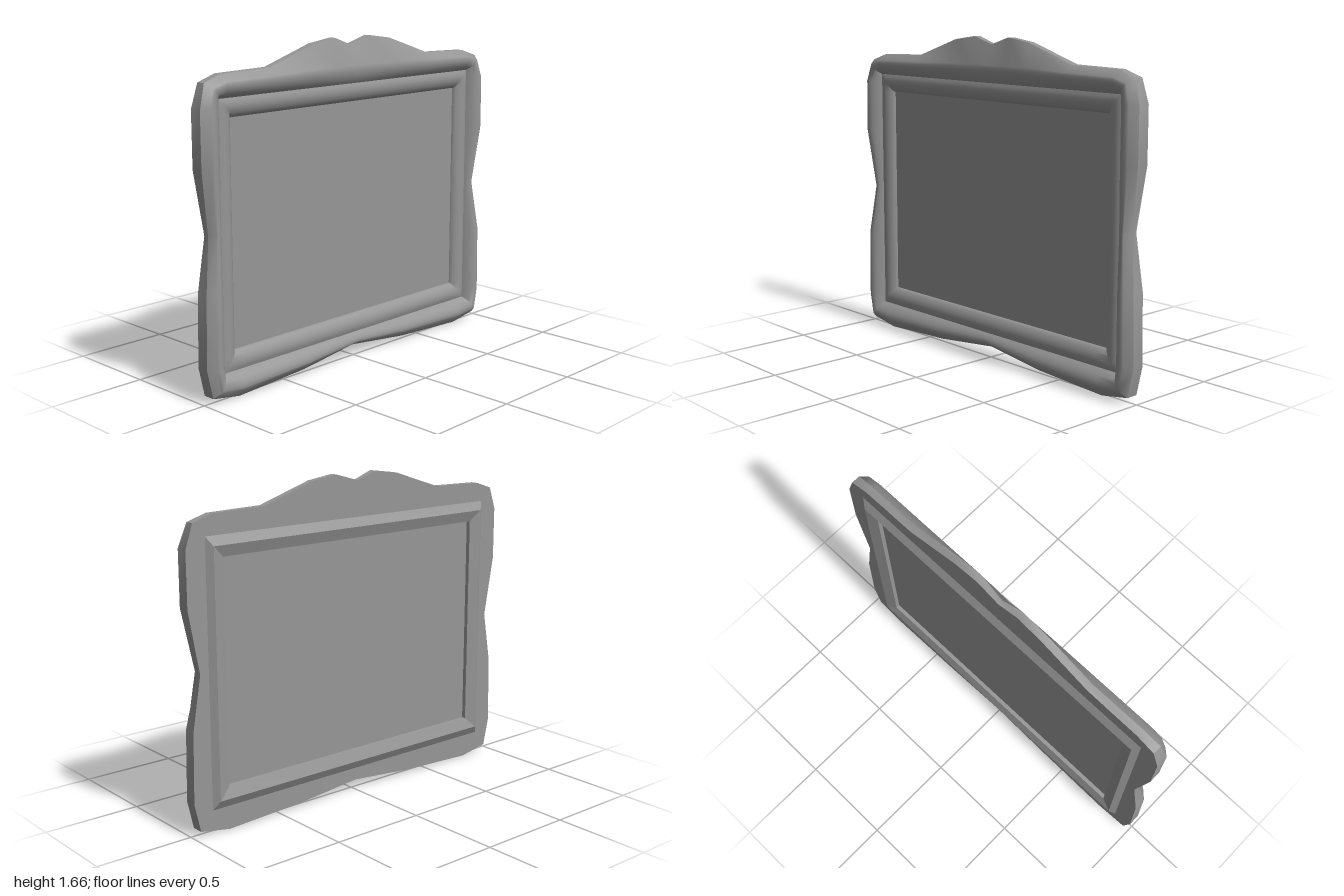
import * as THREE from 'three';
import { toCreasedNormals } from 'three/addons/utils/BufferGeometryUtils.js';

const CY = 0.78; // height of the opening's centre

// Right half of the wavy outline, top to bottom: x, y, edge z, crest z
const HALF = [
  [0.125, 1.66, 0.0, 0.043],
  [0.27, 1.64, 0.0, 0.045],
  [0.56, 1.547, 0.0, 0.048],
  [0.86, 1.54, 0.002, 0.05],
  [0.96, 1.507, 0.008, 0.05],
  [1.0, 1.39, 0.025, 0.06],
  [1.0, 1.115, 0.025, 0.063],
  [0.943, 0.8, -0.01, 0.035],
  [0.99, 0.53, 0.025, 0.063],
  [0.998, 0.175, 0.025, 0.063],
  [0.965, 0.03, 0.025, 0.063],
  [0.8, 0.0, 0.02, 0.06],
  [0.37, 0.02, 0.015, 0.055],
];
const OUTLINE = [
  [-0.01, 1.622, -0.012, 0.038],
  ...HALF,
  [0, 0.055, -0.005, 0.037],
  ...HALF.map(([x, ...rest]) => [-x, ...rest]).reverse(),
];

// Inner rectangle where the carved border meets the bead
const RW = 0.885, RH = 0.65, GROOVE = 0.012;
const clamp = THREE.MathUtils.clamp;
const foot = ([x, y]) => [clamp(x, -RW, RW), clamp(y - CY, -RH, RH)];

// Ring following a rectangle of half size w, h
const rectRing = (w, h, z) => OUTLINE.map((p) => {
  const [x, y] = foot(p);
  return [(x / RW) * w, CY + (y / RH) * h, z];
});
// Ring on the carved border: f runs outward from the groove, k up to the crest
const carvedRing = ([f, k]) => OUTLINE.map((p) => {
  const [x, y] = foot(p);
  const dist = Math.hypot(p[0] - x, p[1] - CY - y);
  const s = f * Math.min(1, 0.13 / dist);
  return [x + (p[0] - x) * s, CY + y + (p[1] - CY - y) * s, GROOVE + (p[3] - GROOVE) * k];
});

// Skin closed rings one after another
function loft(rings, crease = 0.6) {
  const n = rings[0].length, index = [];
  for (let r = 0; r < rings.length - 1; r++) {
    for (let i = 0; i < n; i++) {
      const j = (i + 1) % n;
      const a = r * n + i, b = r * n + j, c = b + n, d = a + n;
      index.push(a, d, c, a, c, b);
    }
  }
  const geo = new THREE.BufferGeometry();
  geo.setAttribute('position', new THREE.Float32BufferAttribute(rings.flat(2), 3));
  geo.setIndex(index);
  return toCreasedNormals(geo, crease);
}

export function createModel() {
  const group = new THREE.Group();
  group.name = 'pictureFrame';
  const material = new THREE.MeshStandardMaterial({ color: 0x969696 });
  const add = (name, geometry) => {
    const mesh = new THREE.Mesh(geometry, material);
    mesh.name = name;
    group.add(mesh);
    return mesh;
  };

  // Flat back and straight outer edge
  const edge = OUTLINE.map(([x, y, z]) => [x, y, z]);
  add('borderBack', loft([
    rectRing(0.895, 0.66, -0.038),
    OUTLINE.map(([x, y]) => [x, y, -0.038]),
    edge,
  ]));

  // Carved front: bevelled up to a crest, then rounded down to the groove
  const profile = [[0.7, 0.9], [0.6, 1], [0.47, 0.98], [0.34, 0.86], [0.21, 0.63], [0.09, 0.32]];
  add('carvedBorder', loft([edge, ...profile.map(carvedRing), rectRing(RW, RH, GROOVE)], 0.8));

  // Half-round bead with a steep step down to the panel: inset, z
  const bead = [
    [0, GROOVE], [0.012, 0.017], [0.028, 0.021], [0.045, 0.019],
    [0.062, 0.012], [0.076, 0.001], [0.083, -0.008], [0.085, -0.018],
  ];
  add('innerBead', loft(bead.map(([d, z]) => rectRing(RW - d, RH - d * 1.12, z))));

  // Raised ridge around the back, with a small step at the panel
  add('backRidge', loft([
    rectRing(0.8, 0.555, -0.02),
    rectRing(0.803, 0.558, -0.044),
    rectRing(0.865, 0.615, -0.063),
    rectRing(0.895, 0.66, -0.038),
  ], 0.3));

  // Flat panel filling the opening
  add('panel', new THREE.BoxGeometry(1.61, 1.12, 0.008)).position.set(0, CY, -0.02);
  return group;
}
